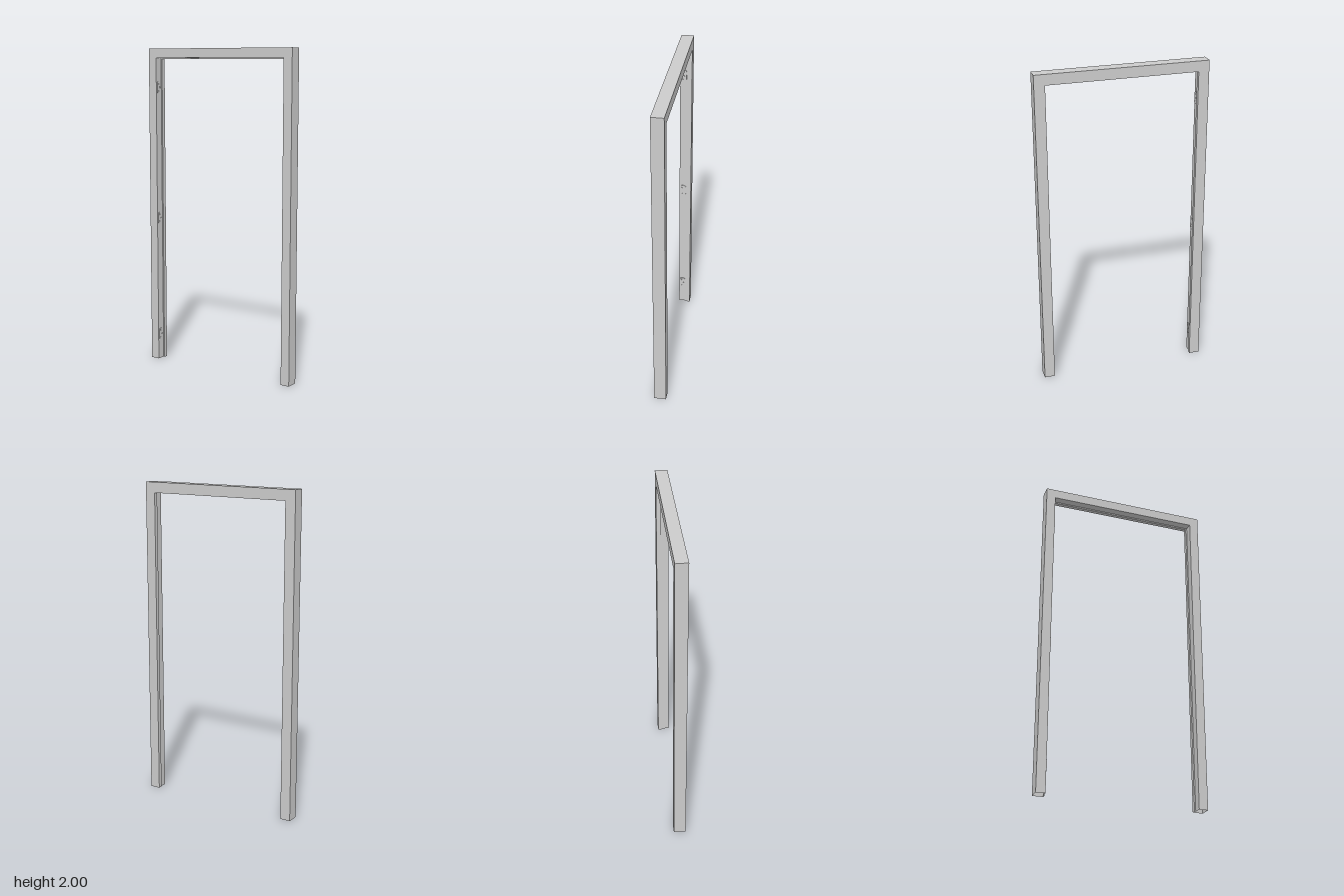
import * as THREE from 'three';

const W = 0.525, H = 2, D = 0.0375;   // outer half width, height, half depth
const FACE = 0.065, REBATE = 0.057;   // frame thickness at the stop and at the rebate
const STOP_Z = -0.012;                // where the stop ends and the rebate begins

const grey = () => new THREE.MeshStandardMaterial({ color: 0xcccccc, side: THREE.DoubleSide });

// Cross-section as [inset from the outer edge, z]
const profile = [
  [0, D], [REBATE, D], [REBATE, STOP_Z], [FACE, STOP_Z], [FACE, -D], [0, -D],
];

// Hollow section swept up, across and down with mitred corners
function sweepFrame() {
  const stations = [
    ([i, z]) => [-W + i, 0, z],
    ([i, z]) => [-W + i, H - i, z],
    ([i, z]) => [W - i, H - i, z],
    ([i, z]) => [W - i, 0, z],
  ];
  const pos = [];
  for (let s = 0; s < 3; s++) {
    profile.forEach((p, k) => {
      const q = profile[(k + 1) % profile.length];
      const a = stations[s](p), b = stations[s](q);
      const c = stations[s + 1](q), d = stations[s + 1](p);
      pos.push(...a, ...b, ...c, ...a, ...c, ...d);
    });
  }
  const geo = new THREE.BufferGeometry();
  geo.setAttribute('position', new THREE.Float32BufferAttribute(pos, 3));
  geo.computeVertexNormals();
  return geo;
}

// Rounded hinge leaf with screw holes, lying in the rebate
function hingeLeaf() {
  const w = 0.018, h = 0.036, r = 0.012;
  const shape = new THREE.Shape();
  shape.moveTo(-w + r, -h);
  shape.lineTo(w - r, -h).absarc(w - r, -h + r, r, -Math.PI / 2, 0, false);
  shape.lineTo(w, h - r).absarc(w - r, h - r, r, 0, Math.PI / 2, false);
  shape.lineTo(-w + r, h).absarc(-w + r, h - r, r, Math.PI / 2, Math.PI, false);
  shape.lineTo(-w, -h + r).absarc(-w + r, -h + r, r, Math.PI, Math.PI * 1.5, false);
  for (const [x, y] of [[-0.006, 0.022], [0.006, 0], [-0.006, -0.022]]) {
    shape.holes.push(new THREE.Path().absarc(x, y, 0.004, 0, Math.PI * 2, true));
  }
  const geo = new THREE.ExtrudeGeometry(shape, { depth: 0.004, bevelEnabled: false, curveSegments: 6 });
  return geo.rotateY(Math.PI / 2);
}

export function createModel() {
  const model = new THREE.Group();
  model.name = 'doorFrame';

  const frame = new THREE.Mesh(sweepFrame(), grey());
  frame.name = 'frame';
  model.add(frame);

  // Three hinges on the inside of the right jamb
  const leaf = hingeLeaf();
  [0.165, 0.93, 1.76].forEach((y, i) => {
    const hinge = new THREE.Mesh(leaf, grey());
    hinge.name = `hinge${i + 1}`;
    hinge.position.set(-W + REBATE, y, 0.014);
    model.add(hinge);
  });
  return model;
}
